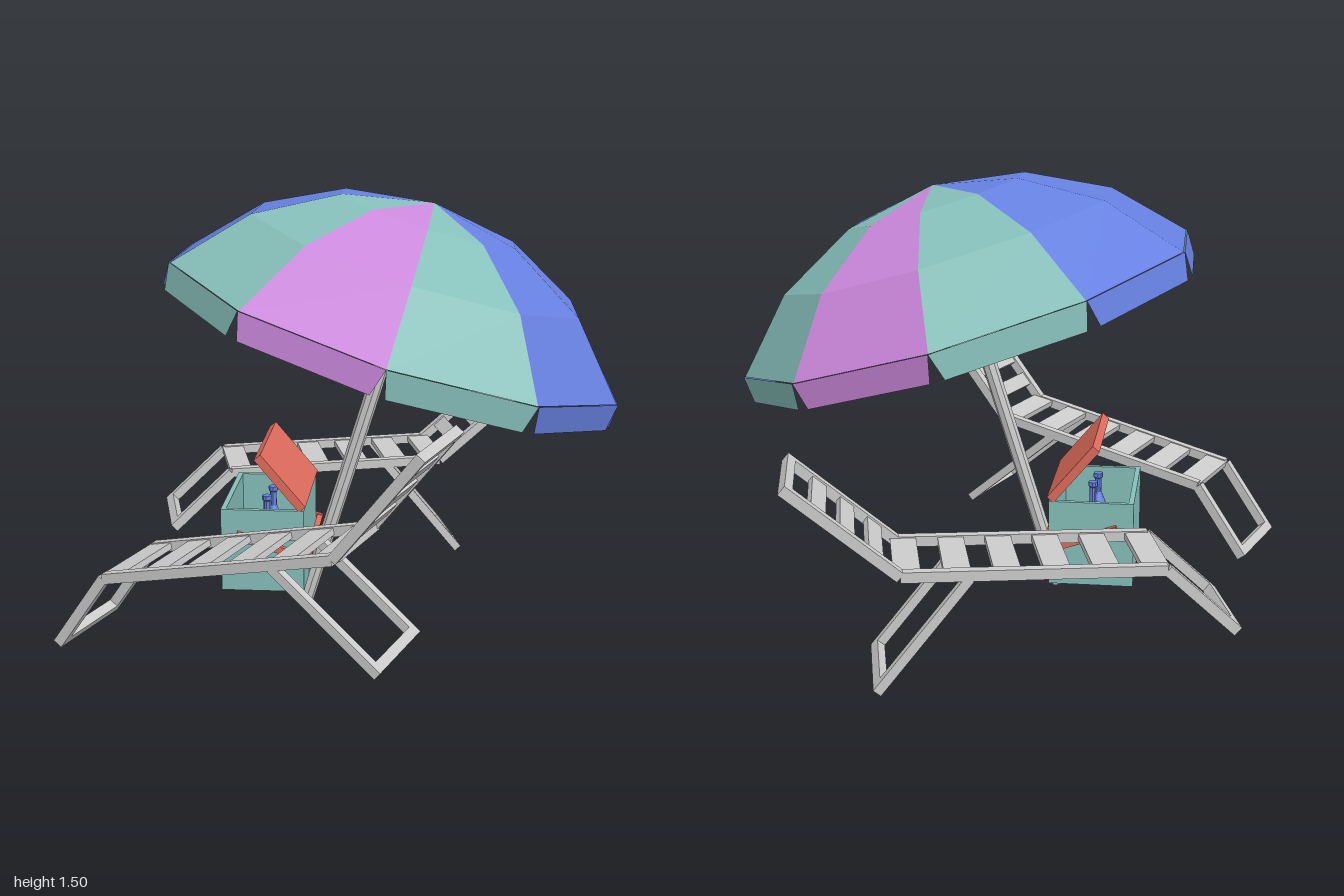
import * as THREE from 'three';

const mat = (color) => new THREE.MeshStandardMaterial({ color, flatShading: true, side: THREE.DoubleSide });
const GREY = mat(0xcccccc), TEAL = mat(0x86bfba), PURPLE = mat(0xcc88dd), BLUE = mat(0x6680e0), RED = mat(0xe06c5c);

function add(parent, name, geometry, material) {
  const mesh = new THREE.Mesh(geometry, material);
  mesh.name = name;
  parent.add(mesh);
  return mesh;
}

// Box with its length running between two points of the xy plane
function beam(parent, name, [x0, y0], [x1, y1], thick, z, width, material) {
  const m = add(parent, name, new THREE.BoxGeometry(Math.hypot(x1 - x0, y1 - y0), thick, width), material);
  m.position.set((x0 + x1) / 2, (y0 + y1) / 2, z);
  m.rotation.z = Math.atan2(y1 - y0, x1 - x0);
  return m;
}

// Flat-shaded surface from quads of points
function quads(list) {
  const pts = list.flatMap(([a, b, c, d]) => [a, b, c, a, c, d]);
  const g = new THREE.BufferGeometry().setFromPoints(pts);
  g.computeVertexNormals();
  return g;
}

function createParasol() {
  const parasol = new THREE.Group();
  parasol.name = 'parasol';
  parasol.position.set(0.17, 1.073, 0);
  parasol.rotation.z = -0.3;

  const pole = add(parasol, 'pole', new THREE.CylinderGeometry(0.027, 0.027, 1.49, 8), GREY);
  pole.position.y = 0.415 - 0.745;

  // Ten dome panels, each with a hanging flap
  const profile = [[0, 0.425], [0.32, 0.37], [0.6, 0.225], [0.815, 0]];
  const colors = [BLUE, BLUE, TEAL, PURPLE, TEAL];
  const point = (r, y, a) => new THREE.Vector3(r * Math.cos(a), y, r * Math.sin(a));
  for (let k = 0; k < 10; k++) {
    const a = THREE.MathUtils.degToRad(-16 + 36 * k), b = a + Math.PI / 5;
    const faces = [];
    for (let i = 0; i < 3; i++) {
      const [r0, y0] = profile[i], [r1, y1] = profile[i + 1];
      faces.push([point(r1, y1, b), point(r1, y1, a), point(r0, y0, a), point(r0, y0, b)]);
    }
    add(parasol, 'canopyPanel', quads(faces), colors[k % 5]);
    const ta = point(0.82, 0, a), tb = point(0.82, 0, b);
    const drop = new THREE.Vector3(0, -0.09, 0);
    const la = ta.clone().lerp(tb, 0.05).add(drop), lb = tb.clone().lerp(ta, 0.05).add(drop);
    add(parasol, 'canopyFlap', quads([[lb, la, ta, tb]]), colors[k % 5]);
  }
  return parasol;
}

function createLounger(name, position, yaw, pitch) {
  const chair = new THREE.Group();
  chair.name = name;
  chair.position.set(...position);
  chair.rotation.set(0, yaw, pitch);

  // Bent side profile: foot, two bends, head
  const along = ([x, y], deg, d) => {
    const a = THREE.MathUtils.degToRad(deg);
    return [x + d * Math.cos(a), y + d * Math.sin(a)];
  };
  const bend1 = [0, 0], bend2 = [0.82, 0];
  const foot = along(bend1, 222, 0.31), head = along(bend2, 39, 0.45);
  const legTop = [0.61, -0.01], legEnd = along(legTop, -52, 0.46);
  for (const side of [-1, 1]) {
    const z = side * 0.163;
    beam(chair, 'footRail', foot, bend1, 0.034, z, 0.034, GREY);
    beam(chair, 'seatRail', bend1, bend2, 0.034, z, 0.034, GREY);
    beam(chair, 'backRail', bend2, head, 0.034, z, 0.034, GREY);
    beam(chair, 'leg', legTop, legEnd, 0.03, z, 0.032, GREY);
  }

  // Cross members
  const W = 0.325;
  beam(chair, 'footBar', foot, along(foot, 42, 0.035), 0.034, 0, W, GREY);
  beam(chair, 'headBar', along(head, 219, 0.03), head, 0.034, 0, W, GREY);
  beam(chair, 'legBar', along(legEnd, 128, 0.035), legEnd, 0.03, 0, W, GREY);
  for (let i = 0; i < 6; i++) {
    const x = 0.035 + i * 0.153;
    beam(chair, 'seatSlat', [x - 0.042, 0.002], [x + 0.042, 0.002], 0.022, 0, W, GREY);
  }
  for (const d of [0.1, 0.21, 0.32])
    beam(chair, 'backSlat', along(bend2, 39, d - 0.028), along(bend2, 39, d + 0.028), 0.022, 0, W, GREY);
  return chair;
}

function createCooler() {
  const cooler = new THREE.Group();
  cooler.name = 'cooler';
  cooler.position.set(-0.28, 0.14, -0.038);
  cooler.rotation.y = -0.04;

  // Open box: floor and four walls
  const H = 0.295, T = 0.018, X = 0.145, Z = 0.225;
  beam(cooler, 'floor', [-X, T / 2], [X, T / 2], T, 0, 2 * Z, TEAL);
  for (const s of [-1, 1]) {
    beam(cooler, 'endWall', [-X, H / 2], [X, H / 2], H, s * (Z - T / 2), T, TEAL);
    beam(cooler, 'sideWall', [s * (X - T / 2), 0], [s * (X - T / 2), H], T, 0, 2 * (Z - T), TEAL);
  }

  // Half-open lid and swing handle
  beam(cooler, 'lid', [X - 0.005, H + 0.005], [X - 0.16, H + 0.19], 0.03, 0, 2 * Z, RED);
  for (const s of [-1, 1])
    beam(cooler, 'handleArm', [-0.09, 0.208], [0.165, 0.122], 0.025, s * (Z + 0.01), 0.018, RED);
  beam(cooler, 'handleGrip', [0.147, 0.124], [0.168, 0.12], 0.025, 0, 2 * Z + 0.038, RED);

  // Bottles standing inside
  const outline = [[0, 0], [0.032, 0], [0.032, 0.17], [0.012, 0.22], [0.012, 0.27], [0.017, 0.275], [0.017, 0.29], [0, 0.29]]
    .map(([r, y]) => new THREE.Vector2(r, y));
  for (const [x, z] of [[0.01, -0.02], [0, 0.09]])
    add(cooler, 'bottle', new THREE.LatheGeometry(outline, 10), BLUE).position.set(x, T, z);
  return cooler;
}

export function createModel() {
  const model = new THREE.Group();
  model.name = 'beachSet';
  model.add(
    createParasol(),
    createLounger('frontLounger', [-0.706, 0.335, 0.443], -0.357, 0.215),
    createLounger('backLounger', [-0.494, 0.387, -0.59], 0.202, 0.015),
    createCooler(),
  );
  return model;
}
